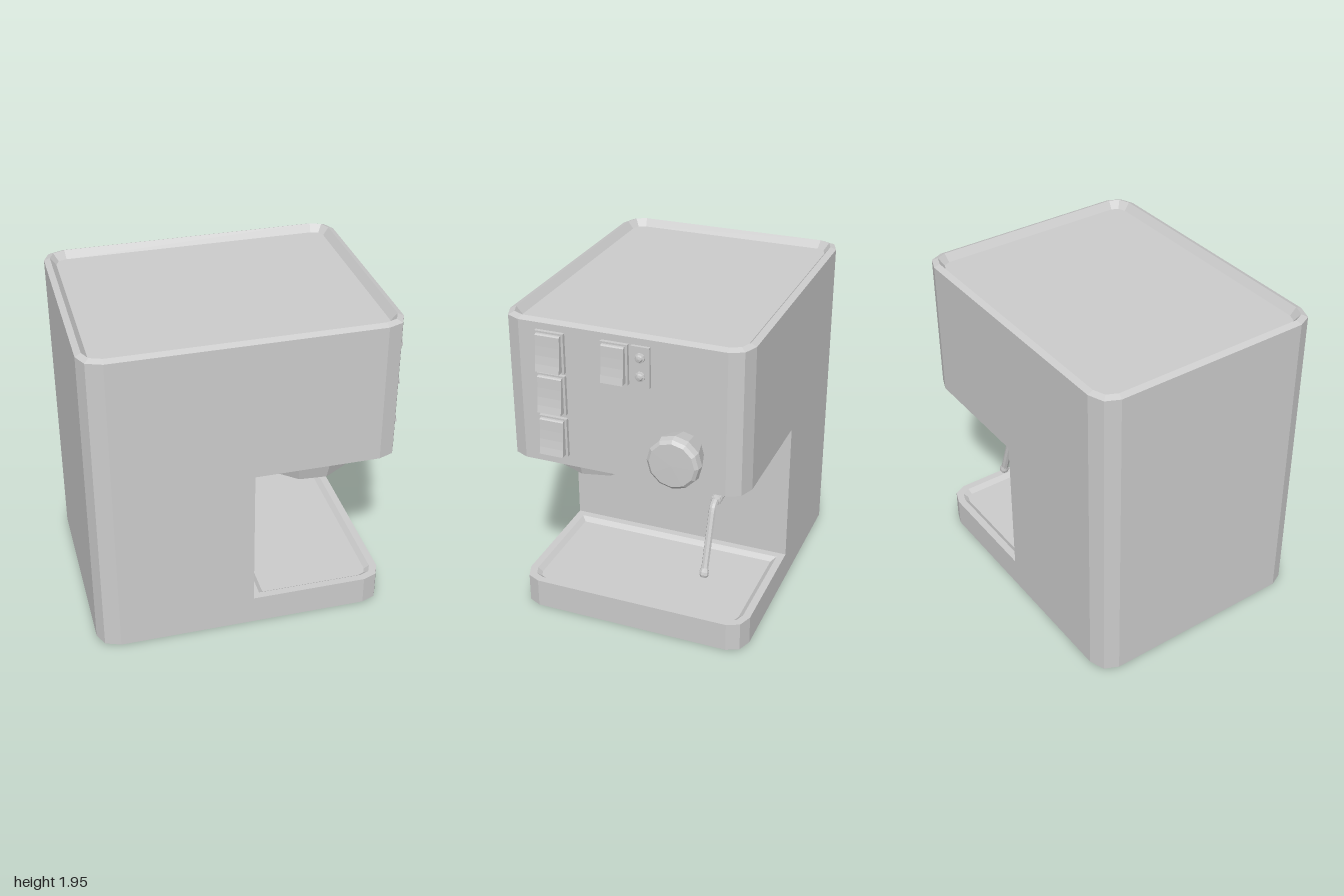
import * as THREE from 'three';

const mat = new THREE.MeshStandardMaterial({ color: 0xcccccc, flatShading: true });

function add(parent, name, geo, x = 0, y = 0, z = 0) {
  const m = new THREE.Mesh(geo, mat);
  m.name = name;
  m.position.set(x, y, z);
  parent.add(m);
  return m;
}

// Plan outline of a box with two-facet corners; back and front corner sizes differ
function outline(x0, x1, z, cBack, cFront, inset) {
  const pts = [];
  for (const [sx, sz] of [[1, 1], [-1, 1], [-1, -1], [1, -1]]) {
    const base = sx > 0 ? cFront : cBack;
    const X = sx > 0 ? x1 - inset : x0 + inset;
    const Z = sz * (z - inset);
    const c = Math.max(base - inset * 0.85, 0.02);
    const corner = base === 0 ? [[X, Z]] : [
      [X, Z - sz * c * 0.9],
      [X - sx * c * 0.29, Z - sz * c * 0.27],
      [X - sx * c, Z],
    ];
    if (sx * sz < 0) corner.reverse();
    pts.push(...corner);
  }
  return pts;
}

// Stack of outlines, each level given as [y, inset], closed at both ends
function loft(x0, x1, z, cBack, cFront, levels) {
  const loops = levels.map(([y, inset]) =>
    outline(x0, x1, z, cBack, cFront, inset).map(p => [p[0], y, p[1]]));
  const n = loops[0].length, pos = [];
  for (let k = 0; k < loops.length - 1; k++) {
    for (let i = 0; i < n; i++) {
      const j = (i + 1) % n, a = loops[k], b = loops[k + 1];
      pos.push(...a[i], ...b[i], ...a[j], ...a[j], ...b[i], ...b[j]);
    }
  }
  const lo = loops[0], hi = loops[loops.length - 1];
  for (let i = 1; i < n - 1; i++) {
    pos.push(...lo[0], ...lo[i], ...lo[i + 1]);
    pos.push(...hi[0], ...hi[i + 1], ...hi[i]);
  }
  const g = new THREE.BufferGeometry();
  g.setAttribute('position', new THREE.Float32BufferAttribute(pos, 3));
  g.computeVertexNormals();
  return g;
}

// Lathe whose axis points along +x; points are [radius, distance]
function latheX(points, sides) {
  return new THREE.LatheGeometry(points.map(p => new THREE.Vector2(...p)), sides).rotateZ(-Math.PI / 2);
}

// Rocker switch: thin frame plus a scooped key that kicks out at the bottom
function rockerSwitch(parent, y, z, w) {
  const g = new THREE.Group();
  g.name = 'rockerSwitch';
  g.position.set(0.82, y, z);
  add(g, 'switchFrame', new THREE.BoxGeometry(0.024, 0.235, w), 0.01);
  const s = new THREE.Shape();
  s.moveTo(0, -0.107);
  s.lineTo(0.064, -0.107);
  s.quadraticCurveTo(0.044, -0.03, 0.042, 0.1);
  s.lineTo(0.036, 0.107);
  s.lineTo(0, 0.107);
  const depth = w - 0.026;
  add(g, 'switchKey', new THREE.ExtrudeGeometry(s, { depth, bevelEnabled: false, curveSegments: 4 }), 0, 0, -depth / 2);
  parent.add(g);
}

export function createModel() {
  const root = new THREE.Group();
  root.name = 'espressoMachine';

  // Housing: rear column, overhanging head with cup tray, drip tray base
  add(root, 'rearColumn', loft(-1, -0.05, 0.717, 0.13, 0, [[0, 0], [1.075, 0]]));
  add(root, 'head', loft(-1, 0.82, 0.717, 0.13, 0.125,
    [[1.075, 0], [1.93, 0], [1.945, 0.035], [1.9, 0.07]]));
  add(root, 'dripTray', loft(-0.05, 0.775, 0.717, 0, 0.12,
    [[0, 0], [0.18, 0], [0.18, 0.045], [0.155, 0.075]]));

  // Control panel
  for (const y of [1.773, 1.522, 1.26]) rockerSwitch(root, y, 0.412, 0.17);
  rockerSwitch(root, 1.773, 0.03, 0.157);
  add(root, 'lightPlate', new THREE.BoxGeometry(0.02, 0.235, 0.108), 0.828, 1.773, -0.12);
  for (const y of [1.828, 1.72]) {
    add(root, 'indicatorLight', latheX([[0.029, 0], [0.029, 0.01], [0.021, 0.012], [0.016, 0.021], [0, 0.024]], 10), 0.837, y, -0.12);
  }
  add(root, 'steamKnob', latheX([[0.118, 0], [0.155, 0.125], [0.148, 0.162], [0.13, 0.178], [0, 0.18]], 12), 0.82, 1.31, -0.36);

  // Brew head under the overhang
  const brew = new THREE.CylinderGeometry(0.315, 0.267, 0.165, 10, 1, false, Math.PI / 2);
  add(root, 'brewHead', brew, 0.36, 0.9925, 0.33).rotation.y = -0.08;

  // Steam wand: bent pipe, ribbed grip and nozzle
  const v = (x, y) => new THREE.Vector3(x, y, 0);
  const path = new THREE.CurvePath();
  path.add(new THREE.LineCurve3(v(0.172, 1.08), v(0.172, 0.83)));
  path.add(new THREE.QuadraticBezierCurve3(v(0.172, 0.83), v(0.172, 0.768), v(0.235, 0.766)));
  path.add(new THREE.LineCurve3(v(0.235, 0.766), v(0.405, 0.762)));
  path.add(new THREE.QuadraticBezierCurve3(v(0.405, 0.762), v(0.438, 0.762), v(0.452, 0.72)));
  path.add(new THREE.LineCurve3(v(0.452, 0.72), v(0.58, 0.355)));
  const wand = new THREE.Group();
  wand.name = 'steamWand';
  wand.position.z = -0.4;
  add(wand, 'wandPipe', new THREE.TubeGeometry(path, 48, 0.022, 8));
  for (let i = 0; i < 6; i++) {
    add(wand, 'gripRib', latheX([[0.022, -0.0125], [0.033, -0.008], [0.033, 0.008], [0.022, 0.0125]], 10), 0.262 + i * 0.0255, 0.765);
  }
  const tip = [[0, -0.03], [0.02, -0.027], [0.029, -0.012], [0.029, 0.006], [0.022, 0.03]];
  const nozzle = new THREE.LatheGeometry(tip.map(p => new THREE.Vector2(...p)), 10);
  add(wand, 'wandNozzle', nozzle, 0.577, 0.368).rotation.z = 0.337;
  root.add(wand);

  return root;
}
